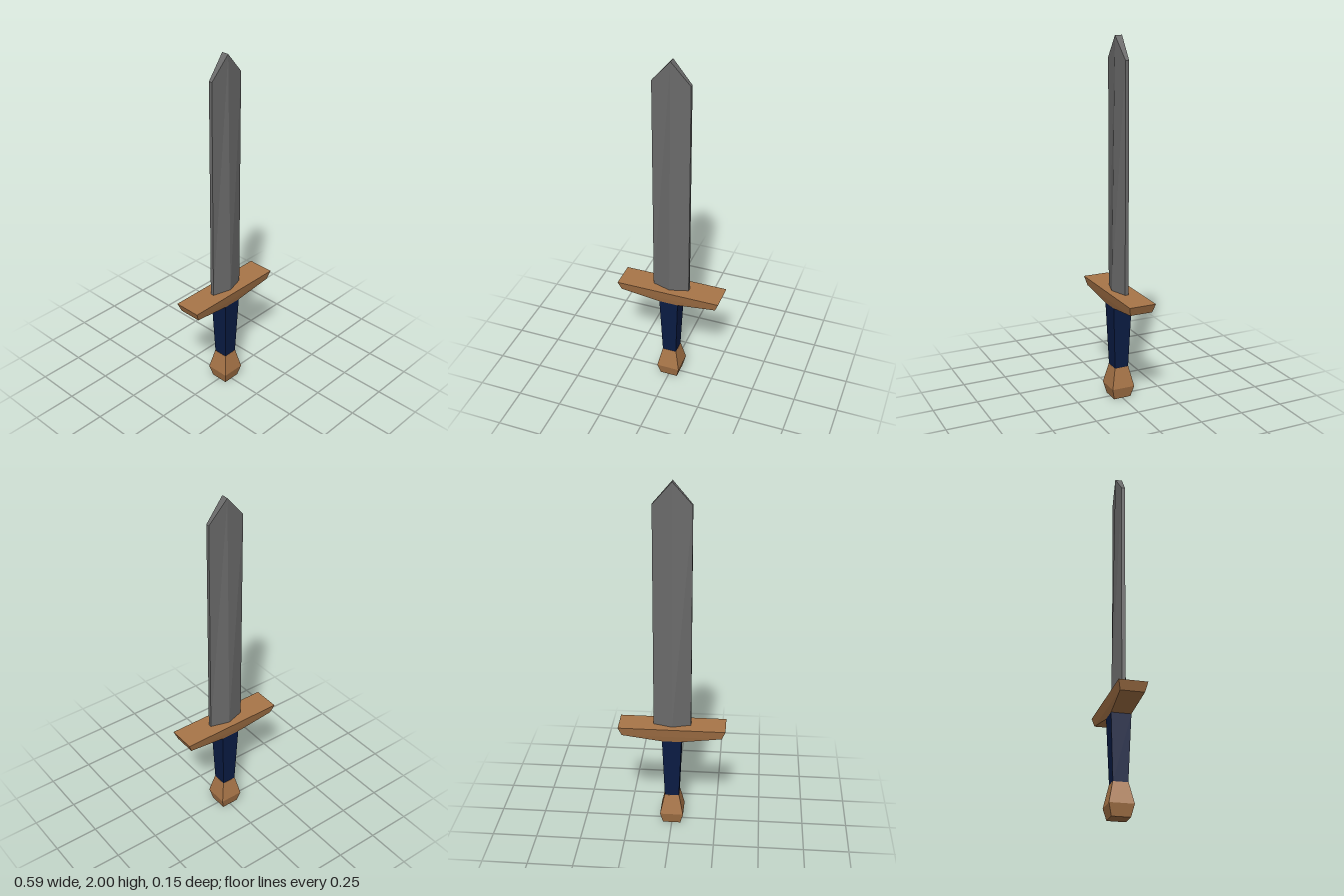
import * as THREE from 'three';

// Skin stacked rings of [x, y, z] points (bottom to top) and close both ends.
function loft(rings) {
  const pos = [];
  const tri = (...pts) => pts.forEach(p => pos.push(...p));
  const centre = ring => {
    const box = new THREE.Box3().setFromPoints(ring.map(p => new THREE.Vector3(...p)));
    return [0, box.max.y, 0];
  };
  const n = rings[0].length;
  const low = rings[0], high = rings[rings.length - 1];
  for (let i = 0; i < n; i++) {
    const j = (i + 1) % n;
    for (let k = 0; k < rings.length - 1; k++) {
      const a = rings[k], b = rings[k + 1];
      tri(a[j], a[i], b[i]);
      tri(a[j], b[i], b[j]);
    }
    tri(centre(low), low[i], low[j]);
    tri(centre(high), high[j], high[i]);
  }
  const geometry = new THREE.BufferGeometry();
  geometry.setAttribute('position', new THREE.Float32BufferAttribute(pos, 3));
  geometry.computeVertexNormals();
  return geometry;
}

// Rectangular ring with half sizes hx, hz at height y.
const rect = (y, hx, hz) => [[hx, y, hz], [-hx, y, hz], [-hx, y, -hz], [hx, y, -hz]];

// Six-sided blade section: thin edges, thicker middle ridge.
const bladeRing = (edgeY, ridgeY, ridgeZ) => [
  [0.104, edgeY, 0.01], [0, ridgeY, ridgeZ], [-0.104, edgeY, 0.01],
  [-0.104, edgeY, -0.01], [0, ridgeY, -ridgeZ], [0.104, edgeY, -0.01],
];

export function createModel() {
  const group = new THREE.Group();
  const material = color => new THREE.MeshStandardMaterial({ color, flatShading: true });
  const wood = material(0xa87548);
  const add = (name, rings, mat) => {
    const mesh = new THREE.Mesh(loft(rings), mat);
    mesh.name = name;
    group.add(mesh);
  };

  // Blade tapers in thickness up to a chisel-like tip
  add('blade', [bladeRing(0.62, 0.62, 0.041), bladeRing(1.88, 2, 0.02)], material(0x6a6a6a));

  // Crossguard with slanted ends and underside
  add('guard', [rect(0.54, 0.055, 0.054), rect(0.575, 0.277, 0.064), rect(0.625, 0.297, 0.076)], wood);

  // Square grip narrowing downwards
  add('grip', [rect(0.18, 0.04, 0.04), rect(0.54, 0.054, 0.054)], material(0x0a1c44));

  // Faceted pommel
  add('pommel', [rect(0, 0.05, 0.05), rect(0.065, 0.066, 0.066), rect(0.18, 0.041, 0.041)], wood);

  return group;
}
